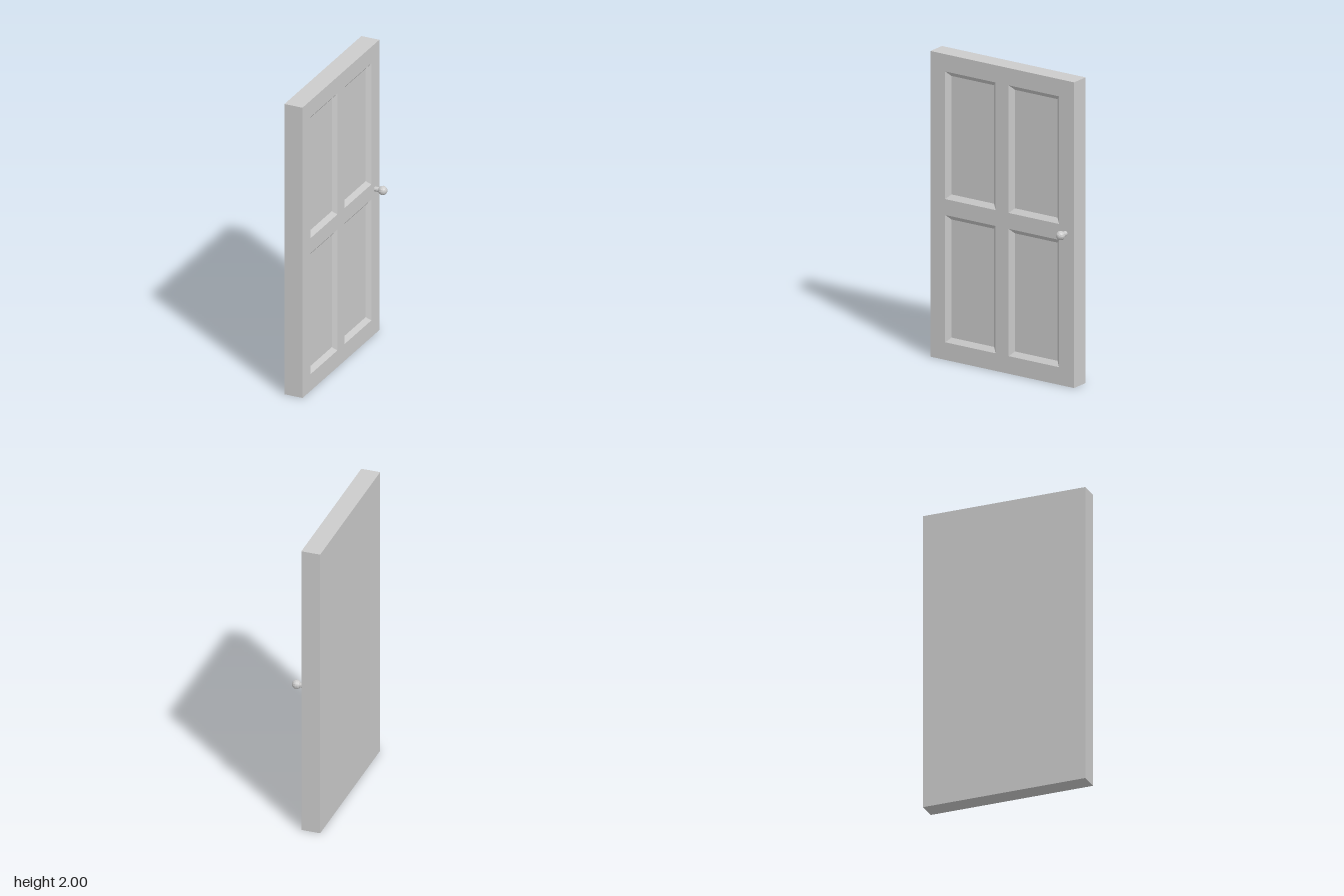
import * as THREE from 'three';

const BACK = -0.105, FRONT = 0.02, RECESS = 0.025, BEVEL = 0.03;
const mat = new THREE.MeshStandardMaterial({ color: 0xcccccc, flatShading: true });

// Rectangle corners in the door plane, counter-clockwise seen from +x
const rect = (x, z0, z1, y0, y1) => [[x, y0, z1], [x, y0, z0], [x, y1, z0], [x, y1, z1]];

function quads(list) {
  const pos = [];
  for (const [a, b, c, d] of list) pos.push(...a, ...b, ...c, ...a, ...c, ...d);
  const g = new THREE.BufferGeometry();
  g.setAttribute('position', new THREE.Float32BufferAttribute(pos, 3));
  g.computeVertexNormals();
  return g;
}

// Four quads joining one rectangle to the next
const bridge = (a, b) => a.map((p, i) => [p, a[(i + 1) % 4], b[(i + 1) % 4], b[i]]);

function add(parent, name, geometry) {
  const mesh = new THREE.Mesh(geometry, mat);
  mesh.name = name;
  parent.add(mesh);
  return mesh;
}

export function createModel() {
  const door = new THREE.Group();
  door.name = 'door';

  // Slab edges and plain back
  const back = rect(BACK, -0.55, 0.55, 0, 2);
  const front = rect(FRONT, -0.55, 0.55, 0, 2);
  add(door, 'slab', quads([...bridge(back, front), [...back].reverse()]));

  // Front frame with four openings, each holding a bevelled recessed panel
  const toPath = (PathType, corners) =>
    new PathType(corners.map(([, y, z]) => new THREE.Vector2(-z, y)));
  const frame = toPath(THREE.Shape, front);
  for (const [y0, y1, row] of [[0.115, 0.948, 'lower'], [1.052, 1.887, 'upper']]) {
    for (const [z0, z1, side] of [[0.05, 0.436, 'Front'], [-0.436, -0.05, 'Back']]) {
      const outer = rect(FRONT, z0, z1, y0, y1);
      const inner = rect(FRONT - RECESS, z0 + BEVEL, z1 - BEVEL, y0 + BEVEL, y1 - BEVEL);
      frame.holes.push(toPath(THREE.Path, outer));
      add(door, row + side + 'Panel', quads([...bridge(outer, inner), inner]));
    }
  }
  add(door, 'frontFrame', new THREE.ShapeGeometry(frame).rotateY(Math.PI / 2).translate(FRONT, 0, 0));

  // Round knob on a short stem
  const knob = new THREE.Group();
  knob.name = 'knob';
  knob.position.set(FRONT, 1, -0.486);
  add(knob, 'knobStem', new THREE.CylinderGeometry(0.016, 0.016, 0.04, 12).rotateZ(-Math.PI / 2).translate(0.02, 0, 0));
  add(knob, 'knobBall', new THREE.SphereGeometry(0.03, 12, 8).rotateZ(-Math.PI / 2).translate(0.054, 0, 0));
  door.add(knob);

  return door;
}
